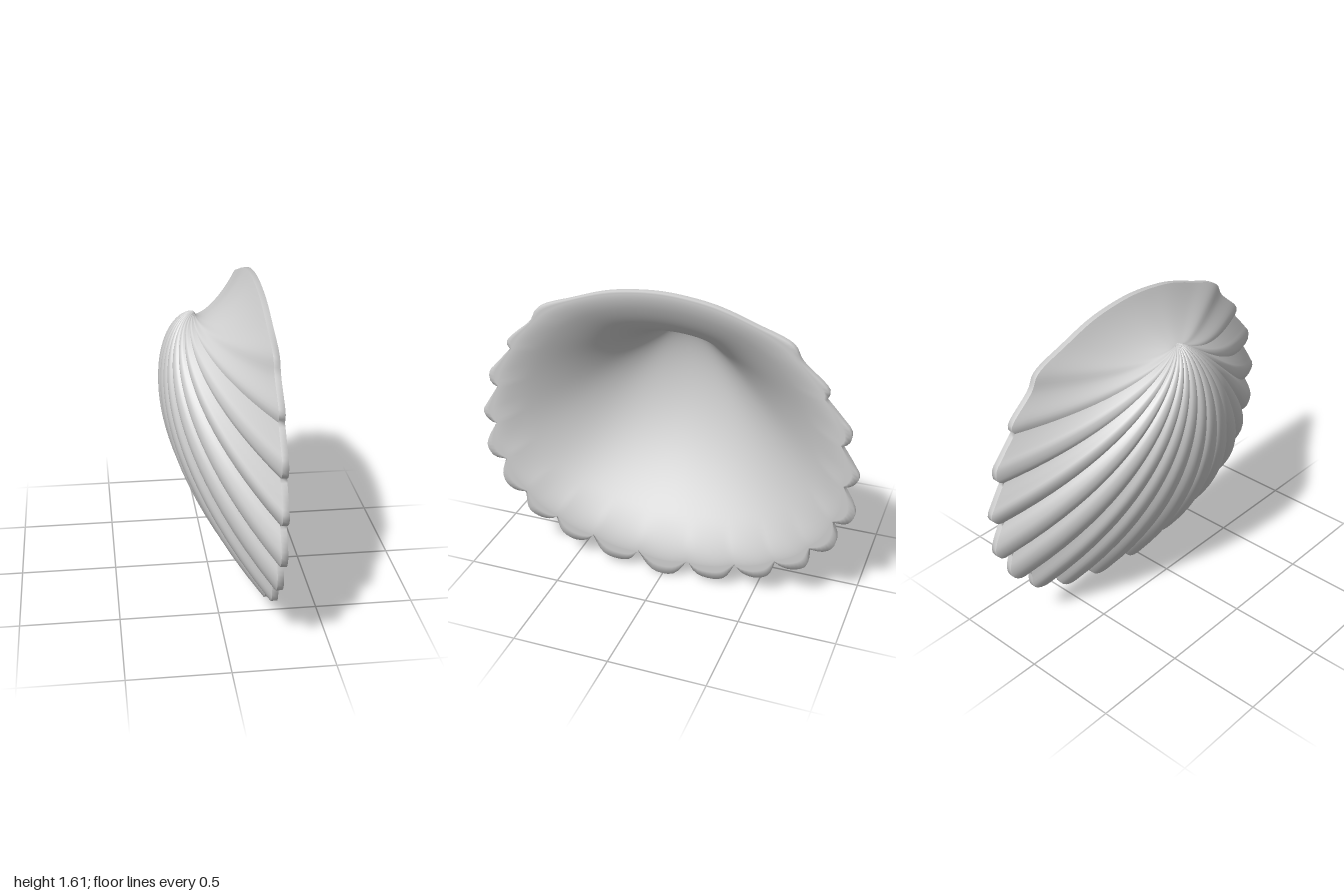
import * as THREE from 'three';

// Rim lobes on the +z half as [z, y], from the bottom rib upwards
const SIDE_LOBES = [
  [[.14, .115], [.185, .05], [.26, .033], [.34, .055], [.4, .155]],
  [[.4, .155], [.435, .115], [.51, .1], [.58, .135], [.61, .225]],
  [[.61, .225], [.64, .205], [.70, .2], [.77, .235], [.785, .345]],
  [[.785, .345], [.85, .345], [.9, .38], [.915, .44], [.89, .53]],
  [[.89, .53], [.96, .535], [.995, .59], [.98, .65], [.93, .74]],
  [[.93, .74], [.965, .75], [1, .8], [.97, .86], [.905, .96]],
  [[.905, .96], [.94, .98], [.945, 1.04], [.905, 1.09], [.815, 1.19]],
];
const BOTTOM_HALF = [[0, 0], [.05, .008], [.085, .035], [.14, .115]];
const TOP_HALF = [[.815, 1.19], [.832, 1.22], [.815, 1.252], [.69, 1.365], [.65, 1.435],
  [.46, 1.513], [.28, 1.573], [.13, 1.598], [0, 1.606]];

const LIP_BACK = .22, LIP_FRONT = .25; // x of the rim band
const TWIST = .53;                     // radians turned per e-fold of shrinking
const STEPS = 60, DEPTH = 5;
const ROUND = .09;                     // length of the soft roll from rim into bowl

const mirror = (pts) => pts.map(([z, y]) => [-z, y]).reverse();

function lobeCurve(pts, n) {
  const curve = new THREE.CatmullRomCurve3(pts.map(([z, y]) => new THREE.Vector3(0, y, z)));
  return curve.getSpacedPoints(n);
}

// Scale a rim point about a centre while turning it about the z axis
function spiral(p, x, centre, t) {
  const k = Math.exp(-t), c = Math.cos(TWIST * t), s = Math.sin(TWIST * t);
  const dx = x - centre.x, dy = p.y - centre.y;
  return new THREE.Vector3(
    centre.x + k * (dx * c + dy * s),
    centre.y + k * (dy * c - dx * s),
    p.z * k);
}

// Moving average over one lobe length around a closed loop
function average(loop, w) {
  return loop.map((_, i) => {
    const q = new THREE.Vector3();
    for (let k = -w; k <= w; k++) {
      q.addScaledVector(loop[(i + k + loop.length) % loop.length], Math.abs(k) === w ? .5 : 1);
    }
    return q.divideScalar(2 * w);
  });
}

// Skin a list of rows; each row runs along the rim
function skin(rows, closed, flip) {
  const n = rows[0].length, index = [];
  for (let j = 0; j < rows.length - 1; j++) {
    for (let i = 0; i < (closed ? n : n - 1); i++) {
      const a = j * n + i, b = j * n + (i + 1) % n, c = a + n, d = b + n;
      if (flip) index.push(a, c, b, b, c, d);
      else index.push(a, b, c, b, d, c);
    }
  }
  const g = new THREE.BufferGeometry().setFromPoints(rows.flat());
  g.setIndex(index);
  g.computeVertexNormals();
  return g;
}

export function createModel() {
  const shell = new THREE.Group();
  shell.name = 'shell';
  const material = new THREE.MeshStandardMaterial({ color: 0xcccccc });
  const add = (name, geometry, parent) => {
    const m = new THREE.Mesh(geometry, material);
    m.name = name;
    parent.add(m);
  };

  // All lobes once around the rim
  const lobes = [
    lobeCurve([...mirror(BOTTOM_HALF), ...BOTTOM_HALF.slice(1)], 12),
    ...SIDE_LOBES.map((l) => lobeCurve(l, 12)),
    lobeCurve([...TOP_HALF, ...mirror(TOP_HALF).slice(1)], 80),
    ...SIDE_LOBES.slice().reverse().map((l) => lobeCurve(mirror(l), 12)),
  ];

  // Outer ribs: every lobe spirals into the beak, with creases in between
  const beak = new THREE.Vector2(-.06, 1.435);
  const ribs = new THREE.Group();
  ribs.name = 'ribs';
  shell.add(ribs);
  for (const lobe of lobes) {
    const rows = [];
    for (let j = 0; j <= STEPS; j++) {
      rows.push(lobe.map((p) => spiral(p, LIP_BACK, beak, DEPTH * j / STEPS)));
    }
    add('rib', skin(rows), ribs);
  }

  // Smooth inner edge of the rim, inset from the lobe tips
  const hollow = new THREE.Vector2(0, 1.34);
  const rim = lobes.flatMap((l) => l.slice(0, -1));
  const inner = average(average(average(rim, 6), 6), 6);
  for (const q of inner) {
    q.y = hollow.y + (q.y - hollow.y) * .96;
    q.z *= .96;
  }

  // Lip, scalloped front face and the bowl, softly joined
  const rows = [LIP_BACK, LIP_FRONT].map((x) => rim.map((p) => new THREE.Vector3(x, p.y, p.z)));
  rows.push(rim.map((p, i) => p.clone().lerp(inner[i], .45).setX(LIP_FRONT)));
  const bowlSteps = 80;
  for (let j = 0; j <= bowlSteps; j++) {
    const t = DEPTH * (j / bowlSteps) ** 1.6;
    const blend = .85 + .15 * THREE.MathUtils.smoothstep(t, 0, .2);
    // The bowl leaves the rim face level, then falls into the spiral
    const lag = ROUND * (1 - Math.exp(-t / ROUND)) * Math.exp(-1.5 * t);
    rows.push(rim.map((p, i) => {
      const q = p.clone().lerp(inner[i], blend);
      const v = spiral(q, LIP_FRONT, hollow, t);
      v.x += lag * (LIP_FRONT - TWIST * (q.y - hollow.y));
      return v;
    }));
  }
  add('lipAndBowl', skin(rows, true, true), shell);
  return shell;
}
